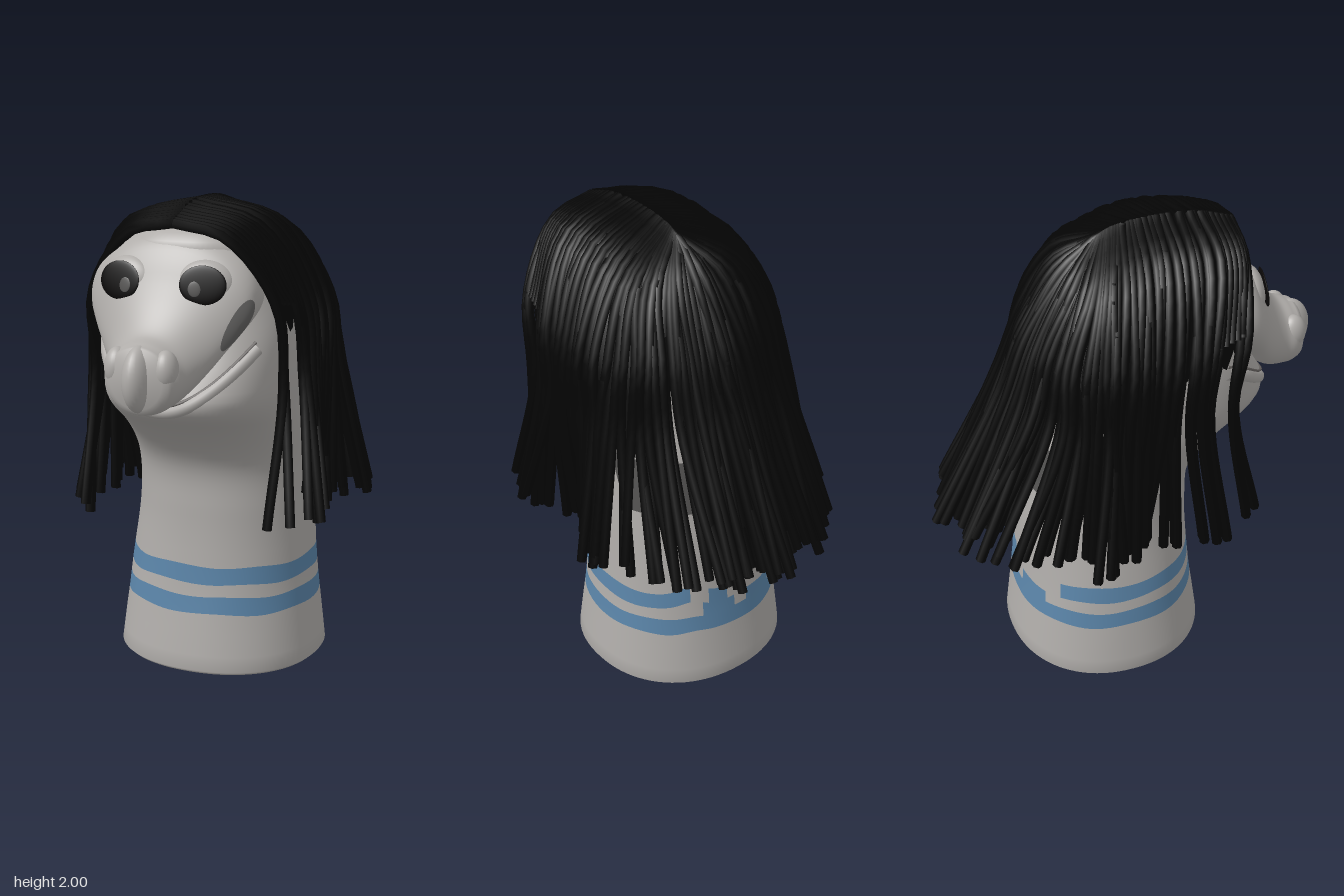
import * as THREE from 'three';
import { mergeGeometries } from 'three/addons/utils/BufferGeometryUtils.js';

const mat = (name, color, side = THREE.FrontSide) => {
  const m = new THREE.MeshStandardMaterial({ color, side });
  m.name = name;
  return m;
};

// Smooth interpolation of table rows [position, ...values]
function spline(keys) {
  const n = keys[0].length - 1;
  const c = new THREE.CubicInterpolant(keys.map(k => k[0]), keys.flatMap(k => k.slice(1)), n, new Float32Array(n));
  return t => Array.from(c.evaluate(t));
}

// Surface from rows of points; closed columns share their seam
function surface(rows, cols, point, closed = true, material = () => 0) {
  const pos = [], idx = [], geo = new THREE.BufferGeometry();
  const w = closed ? cols : cols + 1;
  for (let i = 0; i <= rows; i++) for (let j = 0; j < w; j++) pos.push(...point(i, j / cols));
  const quads = [[], [], []];
  for (let i = 0; i < rows; i++) for (let j = 0; j < cols; j++) {
    const a = i * w + j, b = i * w + (j + 1) % w;
    quads[material(i, (j + 0.5) / cols)].push(a, a + w, b, b, a + w, b + w);
  }
  quads.forEach((q, k) => { geo.addGroup(idx.length, q.length, k); idx.push(...q); });
  geo.setAttribute('position', new THREE.Float32BufferAttribute(pos, 3));
  geo.setIndex(idx);
  geo.computeVertexNormals();
  return geo;
}

export function createModel() {
  const model = new THREE.Group();
  const skin = mat('skin', 0xb0adaa), blue = mat('stripeBlue', 0x5b85a9);
  const hairMat = mat('hairBlack', 0x040404, THREE.DoubleSide);
  const black = mat('eyeBlack', 0x0a0808), grey = mat('darkGrey', 0x555453);
  const spotMat = mat('cheekGrey', 0x646362, THREE.DoubleSide), crease = mat('mouthDark', 0x6b6765);
  const add = (parent, name, geo, m) => {
    const mesh = new THREE.Mesh(geo, m);
    mesh.name = name;
    parent.add(mesh);
    return mesh;
  };
  const ball = (parent, name, m, p, s) => {
    const mesh = add(parent, name, new THREE.SphereGeometry(1, 28, 20), m);
    mesh.position.set(...p);
    mesh.scale.set(...s);
    return mesh;
  };

  // Neck and skull: y, centre x, half width, front z, back z, front squareness
  const section = spline([
    [0, -0.02, 0.45, 0.325, -0.535, 0.92], [0.4, -0.015, 0.403, 0.275, -0.487, 0.92], [0.7, 0, 0.372, 0.265, -0.465, 0.92],
    [0.9, 0, 0.367, 0.285, -0.44, 0.92], [1.0, 0, 0.37, 0.35, -0.43, 0.9], [1.1, 0, 0.375, 0.46, -0.42, 0.88],
    [1.18, 0, 0.38, 0.57, -0.41, 0.85], [1.23, 0, 0.385, 0.59, -0.4, 0.8], [1.3, 0, 0.39, 0.56, -0.39, 0.72],
    [1.45, 0, 0.39, 0.49, -0.36, 0.62], [1.6, 0, 0.37, 0.46, -0.33, 0.7], [1.75, 0, 0.32, 0.46, -0.27, 0.76],
    [1.87, 0, 0.25, 0.44, -0.16, 0.8], [1.92, 0, 0.13, 0.32, 0, 0.9], [1.94, 0, 0, 0.15, 0.15, 0.92]]);
  const ys = [0, 0, 0.015, 0.08, 0.17, 0.265, 0.34, 0.395, 0.47];
  for (let y = 0.53; y < 1.93; y += 0.03) ys.push(y);
  ys.push(1.94);
  const bodyPoint = (i, v) => {
    const a = v * Math.PI * 2, c = Math.cos(a), s = Math.sin(a);
    const [cx, rx, zf, zb, e] = section(ys[i]);
    const k = i === 0 ? 0 : i === 1 ? 0.96 : 1, rz = (zf - zb) / 2;
    const soft = q => Math.sign(q) * Math.abs(q) ** (s > 0 ? e : 0.92);
    // uneven stripe edges, with a hump at the back on one side
    let y = ys[i];
    if (i >= 5 && i <= 8) {
      const rise = Math.exp(-(((c - 0.45) / 0.17) ** 2)) * (s < 0 ? 1 : 0);
      y += 0.004 * Math.sin(a * 7 + i) - 0.005 + 0.04 * rise * (i > 6 ? 1 : 0.4);
    }
    return [cx + rx * k * soft(c), y, (zf + zb) / 2 + rz * k * soft(s)];
  };
  // Stripes, broken and blotchy at the back, and a grey patch under the hair
  const between = (v, lo, hi) => v > lo && v < hi;
  const bodyColour = (i, v) => {
    if (i === 5) return 1;
    if (i === 6) return between(v, 0.66, 0.73) || between(v, 0.755, 0.81) ? 1 : 0;
    if (i === 7) return !between(v, 0.62, 0.83) || between(v, 0.765, 0.79) ? 1 : 0;
    return between(ys[i], 0.84, 1.08) && between(v, 0.58, 0.95) ? 2 : 0;
  };
  add(model, 'neckAndHead', surface(ys.length - 1, 88, bodyPoint, true, bodyColour), [skin, blue, grey]);

  const face = new THREE.Group();
  face.name = 'face';
  face.position.x = -0.023;
  model.add(face);

  // Snout: z, half width, top y, bottom y
  const snout = spline([
    [0.25, 0.33, 1.85, 1.42], [0.4, 0.35, 1.88, 1.41], [0.46, 0.335, 1.84, 1.38], [0.5, 0.3, 1.78, 1.34],
    [0.54, 0.255, 1.7, 1.29], [0.6, 0.2, 1.6, 1.24], [0.67, 0.162, 1.52, 1.22], [0.73, 0.145, 1.495, 1.225],
    [0.77, 0.1, 1.465, 1.26], [0.79, 0, 1.37, 1.37]]);
  const snoutPoint = (z, a, k = 1) => {
    const [rx, top, low] = snout(z);
    return [rx * k * Math.cos(a), (top + low) / 2 + (top - low) / 2 * k * Math.sin(a), z];
  };
  add(face, 'snout', surface(48, 56, (i, v) => snoutPoint(0.25 + 0.54 * i / 48, -v * Math.PI * 2)), skin);
  ball(face, 'noseTip', skin, [0, 1.365, 0.735], [0.06, 0.13, 0.1]);

  // Cheek spot laid on the snout surface, on one side only
  add(face, 'cheekSpot', surface(4, 28, (i, v) => {
    const r = i / 4, a = v * Math.PI * 2;
    return snoutPoint(0.495 + 0.053 * r * Math.cos(a), -0.05 + 0.27 * r * Math.sin(a), 1.025);
  }), spotMat);

  // Smiling lip and crease following the jaw surface
  const mouth = (dy, dz) => {
    const pts = [];
    for (let k = -8; k <= 8; k++) {
      const x = k * 0.0425, y = 1.205 + 2.1 * x * x + dy;
      const [cx, rx, zf, zb, e] = section(y);
      const c = Math.min(1, Math.abs(x - 0.023 - cx) / rx) ** (1 / e);
      pts.push(new THREE.Vector3(x, y, (zf + zb) / 2 + (zf - zb) / 2 * (1 - c * c) ** (e / 2) + dz));
    }
    return new THREE.CatmullRomCurve3(pts);
  };
  add(face, 'lowerLip', new THREE.TubeGeometry(mouth(-0.005, -0.016), 60, 0.028, 12), skin);
  add(face, 'mouthLine', new THREE.TubeGeometry(mouth(0.022, 0.002), 60, 0.007, 6), crease);

  for (const side of [-1, 1]) {
    ball(face, 'nostril', skin, [side * 0.1, 1.4, 0.715], [0.05, 0.08, 0.058]);
    const eye = new THREE.Group();
    eye.name = 'eye';
    eye.position.set(side * 0.163, 1.695, 0.48);
    eye.rotation.set(-0.15, side * 0.2, 0);
    face.add(eye);
    ball(eye, 'eyeSocket', skin, [0, 0, 0], [0.117, 0.096, 0.056]);
    ball(eye, 'eyeball', black, [0, -0.002, 0.055], [0.092, 0.075, 0.009]);
    ball(eye, 'eyeGlint', grey, [-side * 0.03, -0.018, 0.062], [0.026, 0.03, 0.004]);
  }

  // Guide strands from the front hairline to the back, five points each
  const guides = [
    [[0, 1.92, 0.46], [0.22, 1.87, 0.44], [0.385, 1.62, 0.38], [0.41, 1.3, 0.34], [0.42, 0.73, 0.44]],
    [[0, 1.97, 0.3], [0.27, 1.895, 0.27], [0.43, 1.6, 0.2], [0.46, 1.3, 0.18], [0.52, 0.74, 0.24]],
    [[0, 1.98, 0.1], [0.28, 1.895, 0.05], [0.44, 1.6, 0], [0.46, 1.3, -0.02], [0.45, 0.74, -0.05]],
    [[0, 1.965, -0.03], [0.27, 1.84, -0.13], [0.41, 1.58, -0.2], [0.46, 1.3, -0.22], [0.57, 0.75, -0.27]],
    [[0, 1.945, -0.08], [0.2, 1.82, -0.21], [0.29, 1.58, -0.33], [0.33, 1.3, -0.39], [0.38, 0.74, -0.64]],
    [[0, 1.93, -0.11], [0, 1.82, -0.25], [0, 1.58, -0.4], [0, 1.3, -0.53], [0, 0.72, -0.8]]];
  const across = [0, 1, 2, 3, 4].map(k => new THREE.CatmullRomCurve3(guides.map(g => new THREE.Vector3(...g[k]))));
  const strandPoints = (t, side) => across.map(c => {
    const p = c.getPoint(t);
    p.x *= side;
    return p;
  });

  const hair = new THREE.Group();
  hair.name = 'hair';
  model.add(hair);
  let seed = 7;
  const rand = () => (seed = (seed * 16807) % 2147483647) / 2147483647 - 0.5;
  const strands = [];
  const strand = (t, side, inset) => {
    const pts = strandPoints(THREE.MathUtils.clamp(t, 0, 1), side);
    pts.forEach((p, k) => {
      if (k) p.set(p.x * inset + rand() * 0.025, p.y, p.z * inset + rand() * 0.025);
    });
    const end = pts[4];
    end.x += rand() * 0.1;
    end.y += rand() * 0.08;
    end.z += rand() * 0.08;
    strands.push(new THREE.TubeGeometry(new THREE.CatmullRomCurve3(pts), 22, 0.021, 6));
  };
  // Rows of strands: start, end, count, inset; densest at the back
  const layers = [[0, 0.025, 2, 1], [0.14, 0.66, 21, 1], [0.68, 0.86, 8, 1], [0.87, 1, 12, 1],
    [0.4, 0.85, 8, 0.93], [0.86, 1, 10, 0.9], [0.9, 1, 6, 0.8]];
  for (const side of [-1, 1]) {
    // Scalp cover beneath the strands
    add(hair, 'hairCap', surface(40, 18, (i, v) => {
      const p = new THREE.CatmullRomCurve3(strandPoints(i / 40, side)).getPoint(v * (0.57 + 0.04 * Math.sin(i * 2.3)));
      return [p.x * 0.985, p.y - 0.004, p.z * 0.985];
    }, false), hairMat);
    for (const [from, to, count, inset] of layers)
      for (let i = 0; i < count; i++)
        strand(from + (to - from) * (i + rand() * Math.min(1, count / 4)) / (count - 1), side, inset);
    // Short crown strands near the hairline
    for (let i = 0; i < 5; i++) {
      const pts = strandPoints(0.02 + i * 0.03, side).slice(0, 3);
      strands.push(new THREE.TubeGeometry(new THREE.CatmullRomCurve3(pts), 14, 0.021, 6));
    }
  }
  add(hair, 'hairStrands', mergeGeometries(strands), hairMat);
  return model;
}
